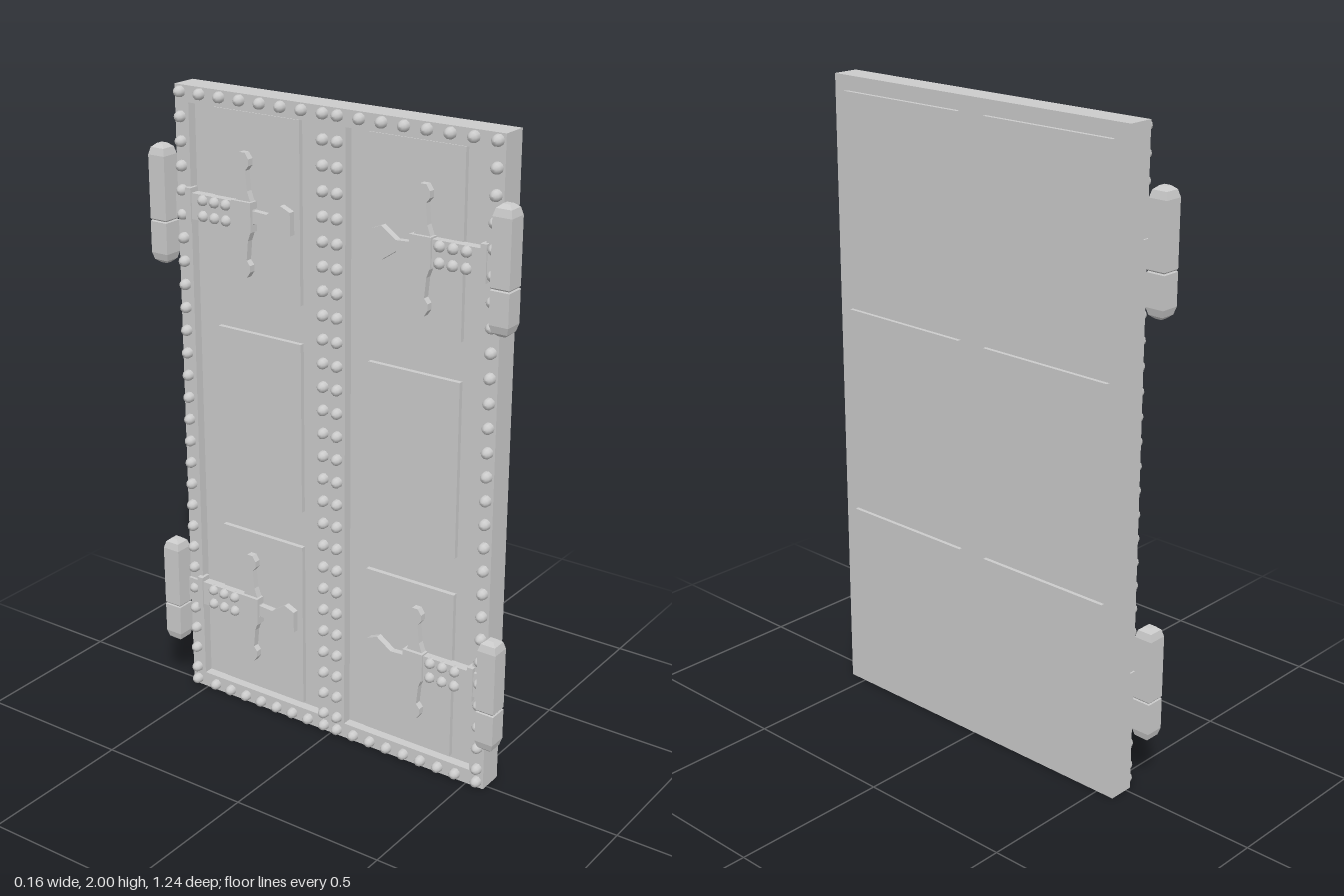
import * as THREE from 'three';

const mat = new THREE.MeshStandardMaterial({ color: 0xcccccc });
const flat = new THREE.MeshStandardMaterial({ color: 0xcccccc, flatShading: true });

export function createModel() {
  const root = new THREE.Group();
  root.name = 'doubleDoor';

  const add = (name, geo, parent = root, material = flat) => {
    const m = new THREE.Mesh(geo, material);
    m.name = name;
    parent.add(m);
    return m;
  };
  // box given by its limits along x, y and z
  const block = (name, x0, x1, y0, y1, z0, z1, parent) => {
    const m = add(name, new THREE.BoxGeometry(x1 - x0, y1 - y0, Math.abs(z1 - z0)), parent);
    m.position.set((x0 + x1) / 2, (y0 + y1) / 2, (z0 + z1) / 2);
    return m;
  };
  // outline in (z, y), extruded from x0 towards -x
  const plate = (name, shape, x0, depth, parent) => {
    const g = new THREE.ExtrudeGeometry(shape, { depth, bevelEnabled: false });
    g.rotateY(-Math.PI / 2);
    const m = add(name, g, parent);
    m.position.x = x0;
    return m;
  };
  const outline = (pts) => new THREE.Shape(pts.map((p) => new THREE.Vector2(p[0], p[1])));
  const rect = (z0, z1, y0, y1) => [[z0, y0], [z1, y0], [z1, y1], [z0, y1]];

  // slab with a raised border around two recessed fields
  block('slab', 0.01, 0.063, 0, 2, -0.56, 0.56);
  const border = outline(rect(-0.56, 0.56, 0, 2));
  for (const s of [-1, 1]) border.holes.push(outline(rect(s * 0.05, s * 0.51, 0.05, 1.95)));
  plate('border', border, 0.01, 0.03);

  // panels on both faces
  const rows = [[0.05, 0.62], [0.72, 1.285], [1.385, 1.955]];
  for (const s of [-1, 1]) {
    for (const [y0, y1] of rows) {
      block('plainPanel', 0.06, 0.075, y0, y1, s * 0.05, s * 0.51);
      block('fieldPanel', -0.005, 0.012, y0 + 0.01, y1 - 0.01, s * 0.12, s * 0.43);
    }
  }

  // domed studs
  const r = 0.017;
  const profile = [[r, 0], [r, 0.012], [r * 0.87, 0.02], [r * 0.5, 0.027], [0, 0.029]];
  const studGeo = new THREE.LatheGeometry(profile.map((p) => new THREE.Vector2(...p)), 10);
  studGeo.rotateZ(Math.PI / 2);
  const studs = new THREE.Group();
  studs.name = 'studs';
  root.add(studs);
  const stud = (y, z, x = -0.017) => add('stud', studGeo, studs, mat).position.set(x, y, z);
  for (const s of [-1, 1]) {
    for (let i = 0; i < 27; i++) {
      const y = 1.98 - 0.0736 * i;
      stud(y, s * 0.538);
      stud(y, s * 0.025);
    }
    for (let i = 1; i < 7; i++) stud(1.98, s * (0.025 + 0.0733 * i));
    for (let i = 0; i < 9; i++) stud(0.022, s * (i < 8 ? 0.025 + 0.0625 * i : 0.538));
  }

  // square hinge knuckle with tapered ends, in two pieces
  const knuckle = (name, pts, parent, y, z) => {
    const g = new THREE.LatheGeometry(
      pts.map(([h, py]) => new THREE.Vector2(h * Math.SQRT2, py)), 4, Math.PI / 4);
    add(name, g, parent).position.set(-0.05, y, z);
  };
  const hinge = (s, y) => {
    const g = new THREE.Group();
    g.name = 'hinge';
    root.add(g);
    const z = s * 0.59;
    knuckle('lowerKnuckle', [[0, -0.183], [0.011, -0.183], [0.024, -0.172], [0.03, -0.15],
      [0.03, -0.053], [0.027, -0.049], [0, -0.049]], g, y, z);
    knuckle('upperKnuckle', [[0, -0.049], [0.027, -0.049], [0.03, -0.045], [0.03, 0.15],
      [0.024, 0.172], [0.011, 0.183], [0, 0.183]], g, y, z);

    // strap reaching in from the edge
    plate('strap', outline(rect(s * 0.31, s * 0.565, y - 0.04, y + 0.04)), 0, 0.03, g);
    block('hingePlate', -0.035, 0, y - 0.055, y + 0.055, s * 0.5, s * 0.52, g);

    // flared head pointing to the middle of the door
    const half = [[0.29, 0.02], [0.225, 0.016], [0.175, 0.05], [0.14, 0.035]];
    const head = [...half, ...half.slice().reverse().map(([a, b]) => [a, -b])];
    plate('strapHead', outline(head.map(([a, b]) => [s * a, y + b])), 0, 0.026, g);

    // upright arms with knobbed tips
    for (const v of [-1, 1]) {
      const arm = [[0.036, 0.02], [0.016, 0.075], [0.01, 0.135], [0.022, 0.15],
        [0.022, 0.17], [0.01, 0.188]];
      const pts = [...arm, ...arm.slice().reverse().map(([a, b]) => [-a, b])];
      plate('strapArm', outline(pts.map(([a, b]) => [s * 0.31 + a, y + v * b])), 0, 0.026, g);
    }
    block('strapBoss', -0.037, 0, y - 0.045, y + 0.045, s * 0.275, s * 0.345, g);
    for (let i = 0; i < 3; i++) {
      for (const v of [-1, 1]) stud(y + v * 0.024, s * (0.37 + 0.043 * i), -0.02);
    }
  };
  for (const s of [-1, 1]) for (const y of [0.352, 1.643]) hinge(s, y);

  return root;
}
